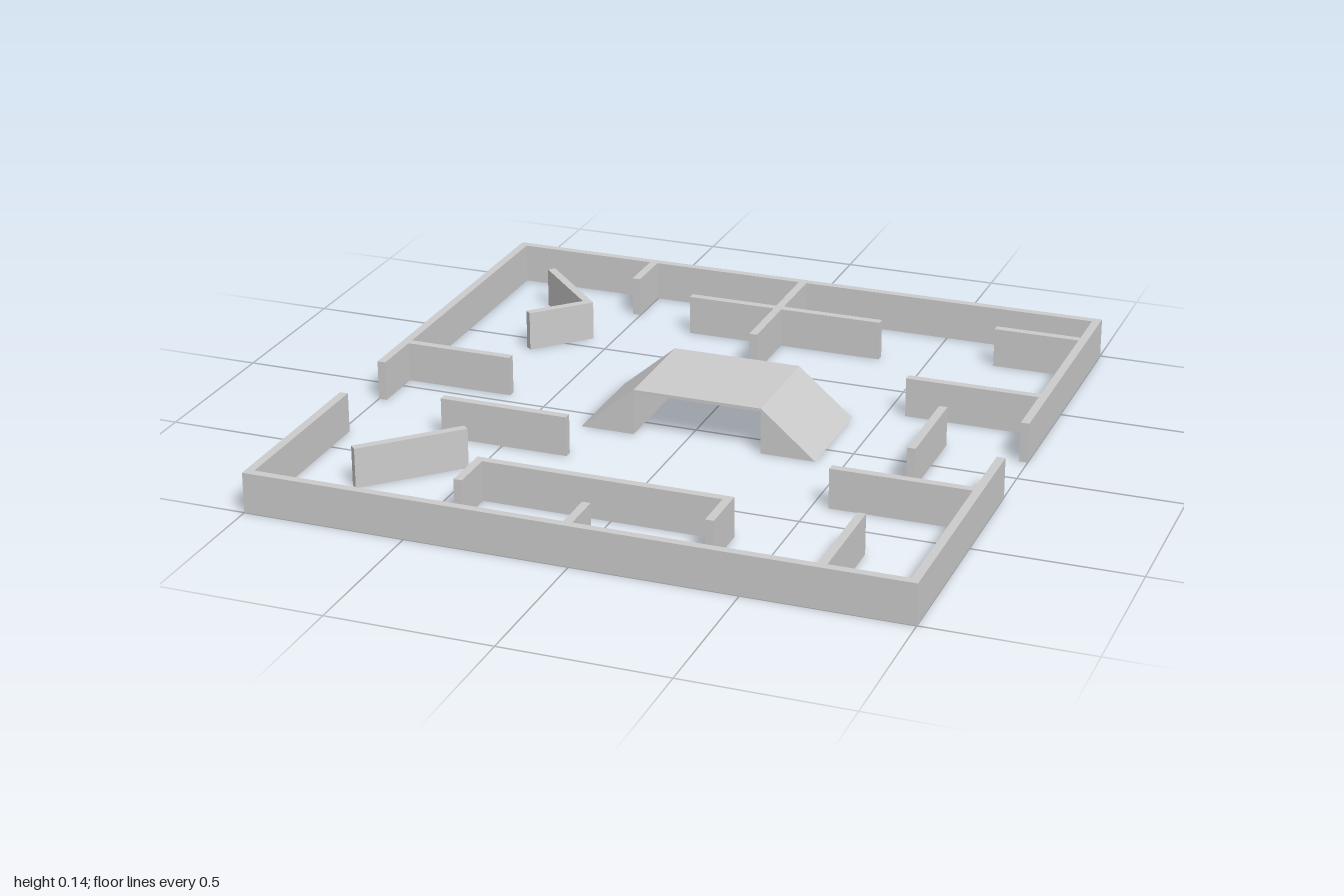
import * as THREE from 'three';

const HEIGHT = 0.125;
const THICK = 0.026;
const EDGE = 1 - THICK / 2; // centreline of the outer walls
const INNER = 1 - THICK; // inner face of the outer walls

const material = new THREE.MeshStandardMaterial({ color: 0xcccccc, flatShading: true });

// Offsets an open path of [x, z] points sideways, with mitred corners.
function offsetPath(points, distance) {
  const p = points.map(([x, z]) => new THREE.Vector2(x, -z));
  const normals = p.slice(1).map((b, i) => {
    const d = b.clone().sub(p[i]).normalize();
    return new THREE.Vector2(-d.y, d.x);
  });
  return p.map((point, i) => {
    const a = normals[Math.max(i - 1, 0)];
    const b = normals[Math.min(i, normals.length - 1)];
    const miter = a.clone().add(b).divideScalar(1 + a.dot(b));
    return point.clone().addScaledVector(miter, distance);
  });
}

// Upright wall of constant thickness following a path on the ground.
function wall(name, ...points) {
  const outline = [...offsetPath(points, -THICK / 2), ...offsetPath(points, THICK / 2).reverse()];
  const geometry = new THREE.ExtrudeGeometry(new THREE.Shape(outline), { depth: HEIGHT, bevelEnabled: false });
  geometry.rotateX(-Math.PI / 2);
  const mesh = new THREE.Mesh(geometry, material);
  mesh.name = name;
  return mesh;
}

// Side profile in x and y, extruded along z.
function prism(name, profile, z0, z1) {
  const shape = new THREE.Shape(profile.map(([x, y]) => new THREE.Vector2(x, y)));
  const geometry = new THREE.ExtrudeGeometry(shape, { depth: z1 - z0, bevelEnabled: false });
  geometry.translate(0, 0, z0);
  const mesh = new THREE.Mesh(geometry, material);
  mesh.name = name;
  return mesh;
}

// Raised deck with a solid ramp at each end.
function bridge() {
  const group = new THREE.Group();
  group.name = 'bridge';
  const top = 0.145, under = 0.135, z0 = -0.255, z1 = 0.095;
  group.add(
    prism('rightRamp', [[-0.335, 0], [-0.165, 0], [-0.165, top]], z0, z1),
    prism('deck', [[-0.165, under], [0.24, under], [0.24, top], [-0.165, top]], z0, z1),
    prism('leftRamp', [[0.24, 0], [0.412, 0], [0.24, top]], z0, z1)
  );
  return group;
}

export function createModel() {
  const model = new THREE.Group();
  model.name = 'arena';

  // Outer walls, broken by a gateway on each side
  model.add(
    wall('backOuterWall', [-EDGE, 0.12], [-EDGE, -EDGE], [EDGE, -EDGE], [EDGE, -0.12]),
    wall('frontOuterWall', [-EDGE, 0.377], [-EDGE, EDGE], [EDGE, EDGE], [EDGE, 0.14])
  );

  // Partitions joined to the outer walls
  model.add(
    wall('backStub', [-0.515, -INNER], [-0.515, -0.815]),
    wall('backDivider', [0.006, -INNER], [0.006, -0.495]),
    wall('crossWallRight', [-0.293, -0.738], [0.006 - THICK / 2, -0.738]),
    wall('crossWallLeft', [0.006 + THICK / 2, -0.738], [0.348, -0.738]),
    wall('frontStub', [-0.01, INNER], [-0.01, 0.84]),
    wall('frontDivider', [0.727, INNER], [0.727, 0.637]),
    wall('rightPartition', [-INNER, -0.06], [-0.632, -0.06])
  );
  for (const [x, z] of [[0.703, -0.815], [0.56, -0.335], [0.55, 0.375]]) {
    model.add(wall('leftPartition', [x, z], [INNER, z]));
  }

  // Free-standing barriers
  model.add(
    wall('leftBarrier', [0.727, -0.155], [0.727, 0.17]),
    wall('rightBarrier', [-0.697, 0.302], [-0.292, 0.302]),
    wall('diagonalBarrier', [-0.785, 0.73], [-0.538, 0.483]),
    wall('angledBarrier', [-0.81, -0.802], [-0.585, -0.57], [-0.73, -0.42]),
    wall('bracketBarrier', [-0.408, 0.828], [-0.408, 0.675], [0.35, 0.675], [0.35, 0.828])
  );

  model.add(bridge());
  return model;
}
